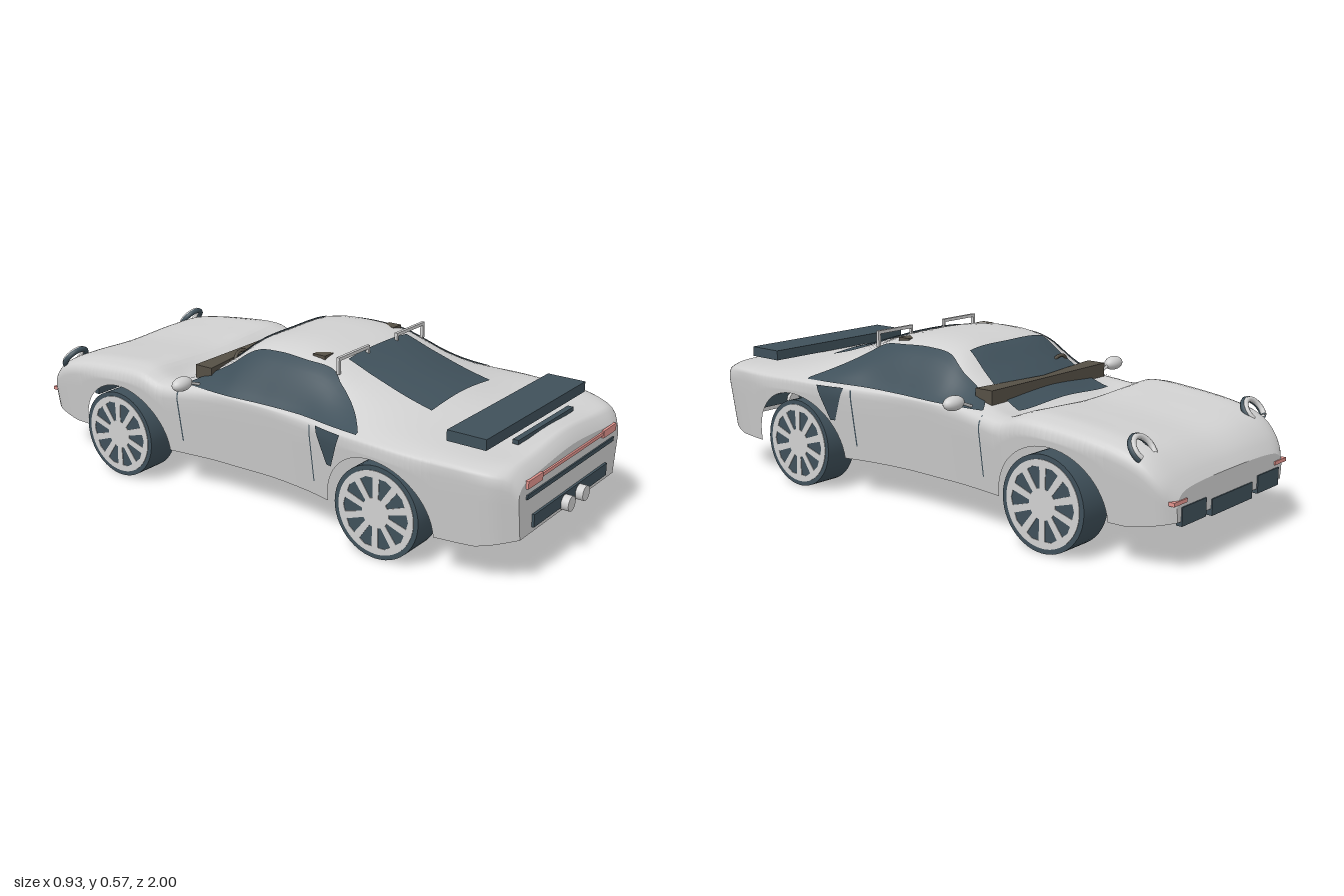
import * as THREE from 'three';

const mat = (name, color) => {
  const m = new THREE.MeshStandardMaterial({ color, side: THREE.DoubleSide });
  m.name = name;
  return m;
};

// Body stations: z, centre height, roof edge x/y, shoulder x/y, widest x
const ST = [
  [-0.996, 0.262, 0.2, 0.258, 0.285, 0.24, 0.302],
  [-0.965, 0.302, 0.2, 0.302, 0.315, 0.287, 0.34],
  [-0.9, 0.345, 0.2, 0.352, 0.33, 0.345, 0.367],
  [-0.8, 0.37, 0.2, 0.38, 0.33, 0.379, 0.38],
  [-0.6, 0.393, 0.2, 0.402, 0.33, 0.404, 0.39],
  [-0.48, 0.396, 0.2, 0.406, 0.34, 0.406, 0.395],
  [-0.395, 0.374, 0.2, 0.368, 0.34, 0.382, 0.39],
  [-0.3, 0.412, 0.22, 0.399, 0.33, 0.392, 0.38],
  [-0.2, 0.48, 0.21, 0.462, 0.335, 0.40, 0.37],
  [-0.1, 0.543, 0.22, 0.526, 0.345, 0.405, 0.368],
  [0.05, 0.566, 0.23, 0.541, 0.345, 0.405, 0.365],
  [0.2, 0.552, 0.235, 0.529, 0.35, 0.405, 0.38],
  [0.35, 0.512, 0.225, 0.483, 0.38, 0.403, 0.41],
  [0.5, 0.465, 0.2, 0.445, 0.395, 0.403, 0.43],
  [0.65, 0.425, 0.2, 0.415, 0.395, 0.398, 0.432],
  [0.8, 0.404, 0.2, 0.398, 0.387, 0.393, 0.415],
  [0.9, 0.4, 0.2, 0.39, 0.35, 0.383, 0.388],
  [0.945, 0.404, 0.2, 0.386, 0.32, 0.37, 0.355],
  [0.967, 0.363, 0.2, 0.349, 0.305, 0.335, 0.333],
];
const ARCHES = [[0.515, 0.21], [-0.585, 0.2]];
const Z0 = ST[0][0], Z1 = ST[ST.length - 1][0];

// Smooth interpolation between stations
function station(z) {
  let i = 0;
  while (i < ST.length - 2 && z > ST[i + 1][0]) i++;
  const a = ST[i], b = ST[i + 1], p = ST[Math.max(i - 1, 0)], n = ST[Math.min(i + 2, ST.length - 1)];
  const h = b[0] - a[0], t = (z - a[0]) / h, t2 = t * t, t3 = t2 * t;
  return a.map((v, k) => {
    const ma = (b[k] - p[k]) / (b[0] - p[0]) * h, mb = (n[k] - v) / (n[0] - a[0]) * h;
    return (2 * t3 - 3 * t2 + 1) * v + (t3 - 2 * t2 + t) * ma + (3 * t2 - 2 * t3) * b[k] + (t3 - t2) * mb;
  });
}

// Lower edge with wheel arches and raised ends
function lowEdge(z) {
  for (const [c, h] of ARCHES) {
    const d = (z - c) / 0.205;
    if (Math.abs(d) < 1) return 0.13 + h * Math.sqrt(1 - d * d);
  }
  return 0.13 + 0.03 * Math.max(0, (z - 0.85) / 0.117, (-0.86 - z) / 0.136);
}

// Half cross-section from roof centre to sill
function section(z) {
  const [, yc, xr, yr, xb, yb, xw] = station(z);
  const yw = yb - 0.05, low = Math.min(lowEdge(z), yw - 0.004);
  const c = new THREE.SplineCurve([[-xr, yr], [0, yc], [xr, yr], [xb, yb], [xw, yw], [xw - 0.035, 0.13]]
    .map(q => new THREE.Vector2(...q)));
  const out = [];
  for (let j = 0; j <= 18; j++) out.push(c.getPoint(0.2 + 0.6 * j / 18));
  for (let j = 1; j <= 4; j++) {
    const y = yw + (low - yw) * j / 4;
    out.push(new THREE.Vector2(xw - 0.035 * (yw - y) / 0.23, y));
  }
  return out;
}
function topY(x, z) {
  const s = section(z), ax = Math.abs(x);
  for (let j = 1; j < s.length; j++) if (s[j].x >= ax) {
    return THREE.MathUtils.mapLinear(ax, s[j - 1].x, s[j].x, s[j - 1].y, s[j].y);
  }
  return s[0].y;
}
function sideX(y, z) {
  const s = section(z);
  for (let j = s.length - 1; j > 0; j--) if (s[j - 1].y >= y) {
    return THREE.MathUtils.mapLinear(y, s[j].y, s[j - 1].y, s[j].x, s[j - 1].x);
  }
  return s[0].x;
}

// Grid surface from rows of points
function gridGeometry(rows) {
  const n = rows[0].length, idx = [];
  for (let i = 0; i < rows.length - 1; i++) for (let j = 0; j < n - 1; j++) {
    const a = i * n + j, b = a + n;
    idx.push(a, b, a + 1, a + 1, b, b + 1);
  }
  const g = new THREE.BufferGeometry();
  g.setAttribute('position', new THREE.Float32BufferAttribute(rows.flat(2), 3));
  g.setIndex(idx);
  g.computeVertexNormals();
  return g;
}
const patch = (nu, nv, f) => gridGeometry(Array.from({ length: nu + 1 }, (_, i) =>
  Array.from({ length: nv + 1 }, (_, j) => f(i / nu, j / nv))));

export function createModel() {
  const car = new THREE.Group();
  const paint = mat('paintGrey', 0xd0d0d0), slate = mat('darkSlate', 0x3f505a);
  const red = mat('lampRed', 0xe4958f), brown = mat('interiorBrown', 0x554f45);
  const add = (name, geo, m, x = 0, y = 0, z = 0) => {
    const mesh = new THREE.Mesh(geo, m);
    mesh.name = name;
    mesh.position.set(x, y, z);
    car.add(mesh);
    return mesh;
  };
  // Box given by its limits
  const box = (name, m, x0, x1, y0, y1, z0, z1) => add(name,
    new THREE.BoxGeometry(x1 - x0, y1 - y0, z1 - z0), m, (x0 + x1) / 2, (y0 + y1) / 2, (z0 + z1) / 2);

  // Body shell, open underneath, with dense slices at the arches
  const zs = [];
  for (let i = 0; i <= 100; i++) zs.push(Z0 + (Z1 - Z0) * i / 100);
  for (const [c] of ARCHES) for (let k = 0; k <= 30; k++) zs.push(c + 0.2051 * Math.cos(Math.PI * k / 30));
  zs.sort((a, b) => a - b);
  const ring = z => {
    const s = section(z);
    return [...s.slice(1).reverse().map(p => [-p.x, p.y, z]), ...s.map(p => [p.x, p.y, z])];
  };
  add('bodyShell', gridGeometry(zs.filter((z, i) => !i || z - zs[i - 1] > 1e-5).map(ring)), paint);
  for (const [name, z] of [['nosePanel', Z0], ['tailPanel', Z1]]) {
    const r = ring(z);
    add(name, gridGeometry([r, r.map(p => [p[0] * 0.9, lowEdge(z), z])]), paint);
  }

  // Windscreen and rear window
  for (const [name, z0, z1, w0, w1] of [['windscreen', -0.36, -0.11, 0.24, 0.19], ['rearWindow', 0.245, 0.57, 0.17, 0.18]]) {
    add(name, patch(20, 16, (u, v) => {
      const z = z0 + (z1 - z0) * u, x = (v * 2 - 1) * (w0 + (w1 - w0) * u);
      return [x, topY(x, z) + 0.005, z];
    }), slate);
  }

  // Side glass and door seams
  const arc = new THREE.SplineCurve([[0.445, 0.402], [0.37, 0.442], [0.295, 0.484], [0.228, 0.522], [0.13, 0.533],
    [0.02, 0.536], [-0.08, 0.522], [-0.17, 0.462], [-0.3, 0.39]].map(p => new THREE.Vector2(...p)));
  const lerp = THREE.MathUtils.lerp;
  for (const s of [1, -1]) {
    const on = (y, z, o = 0.005) => [s * (sideX(y, z) + o), y + o * 0.4, z];
    add('sideWindow', patch(40, 10, (u, v) => {
      const p = arc.getPoint(u);
      return on(lerp(lerp(0.397, 0.388, u), p.y, v), p.x);
    }), slate);
    add('quarterWindow', patch(6, 6, (u, v) =>
      on(lerp(0.265, 0.385, v), lerp(lerp(0.325, 0.28, v), lerp(0.345, 0.39, v), u))), slate);
    for (const z of [0.25, -0.318]) {
      add('doorSeam', patch(1, 10, (u, v) => on(lerp(0.18, 0.38, v), z + u * 0.005, 0.002)), slate);
    }

    // Mirrors
    add('mirror', new THREE.SphereGeometry(1, 24, 16), paint, s * 0.425, 0.42, -0.25).scale.set(0.042, 0.024, 0.026);
    const arm = add('mirrorArm', new THREE.CylinderGeometry(0.005, 0.005, 0.06, 8), paint, s * 0.37, 0.407, -0.25);
    arm.rotation.z = s * -1.2;

    // Headlamp hoops
    const lamp = new THREE.Group();
    lamp.name = 'headlampHoop';
    for (const [m, r, t, y] of [[slate, 0.045, 0.01, 0], [paint, 0.041, 0.009, 0.007]]) {
      const hoop = new THREE.Mesh(new THREE.TorusGeometry(r, t, 8, 28, 4.4), m);
      hoop.name = 'hoop';
      hoop.rotation.set(Math.PI / 2, 0, Math.PI / 2 - 2.2);
      hoop.position.y = y;
      lamp.add(hoop);
    }
    lamp.position.set(s * 0.315, 0.36, -0.88);
    lamp.rotation.x = -0.9;
    car.add(lamp);

    // Roof rail, tail lamp end, nose marker, exhaust, nose grille, seat top
    const mid = (name, m, a, b, ...r) => box(name, m, Math.min(s * a, s * b), Math.max(s * a, s * b), ...r);
    mid('roofRail', paint, 0.08, 0.25, 0.555, 0.566, 0.255, 0.266);
    mid('railOuterLeg', paint, 0.24, 0.25, 0.51, 0.56, 0.255, 0.266);
    mid('railInnerLeg', paint, 0.08, 0.088, 0.535, 0.56, 0.255, 0.266);
    mid('tailLampEnd', red, 0.205, 0.295, 0.318, 0.343, 0.965, 0.975);
    mid('noseMarker', red, 0.255, 0.325, 0.214, 0.226, -1, -0.98);
    mid('sideGrille', slate, 0.15, 0.28, 0.145, 0.203, -1, -0.98);
    mid('seatTop', brown, 0.175, 0.22, 0.51, 0.549, 0.14, 0.188);
    add('exhaust', new THREE.CylinderGeometry(0.025, 0.025, 0.06, 24), paint, s * 0.049, 0.19, 0.97).rotation.x = Math.PI / 2;

    // Wheels with ten-spoke rims
    for (const [z] of ARCHES) {
      add('tyre', new THREE.CylinderGeometry(0.155, 0.155, 0.12, 48), slate, s * 0.34, 0.155, z).rotation.z = Math.PI / 2;
      const face = new THREE.Shape().absarc(0, 0, 0.139, 0, Math.PI * 2);
      for (let k = 0; k < 10; k++) {
        const a = k * Math.PI / 5;
        face.holes.push(new THREE.Path([[0.05, -0.11], [0.116, -0.21], [0.12, 0], [0.116, 0.21], [0.05, 0.11]]
          .map(([r, d]) => new THREE.Vector2(r * Math.cos(a + d), r * Math.sin(a + d)))));
      }
      const rim = new THREE.ExtrudeGeometry(face, { depth: 0.004, bevelEnabled: false, curveSegments: 48 });
      add('rim', rim, paint, s * 0.398, 0.155, z).rotation.y = s * Math.PI / 2;
    }
  }

  // Rear details and centre grille
  box('rearWing', slate, -0.32, 0.32, 0.415, 0.45, 0.71, 0.845);
  box('deckVent', slate, -0.18, 0.18, 0.396, 0.41, 0.855, 0.875);
  box('tailLampBar', red, -0.21, 0.21, 0.327, 0.338, 0.965, 0.973);
  box('tailStrip', slate, -0.29, 0.29, 0.282, 0.296, 0.96, 0.972);
  box('rearPlate', slate, -0.245, 0.245, 0.178, 0.22, 0.955, 0.975);
  box('centreGrille', slate, -0.117, 0.117, 0.138, 0.19, -1, -0.98);

  // Interior: floor, dashboard with swept front edge, steering wheel
  box('cabinFloor', brown, -0.27, 0.27, 0.295, 0.31, -0.25, 0.31);
  const dash = new THREE.Shape([[-0.3, 0.3], [0, 0.3], [0.3, 0.3], [0.3, 0.23], [0, 0.27], [-0.3, 0.23]]
    .map(p => new THREE.Vector2(...p)));
  add('dashboard', new THREE.ExtrudeGeometry(dash, { depth: 0.055, bevelEnabled: false }), brown, 0, 0.39, 0).rotation.x = -Math.PI / 2;
  add('steeringWheel', new THREE.TorusGeometry(0.045, 0.006, 8, 24), brown, -0.17, 0.437, -0.195).rotation.x = -0.3;
  return car;
}
